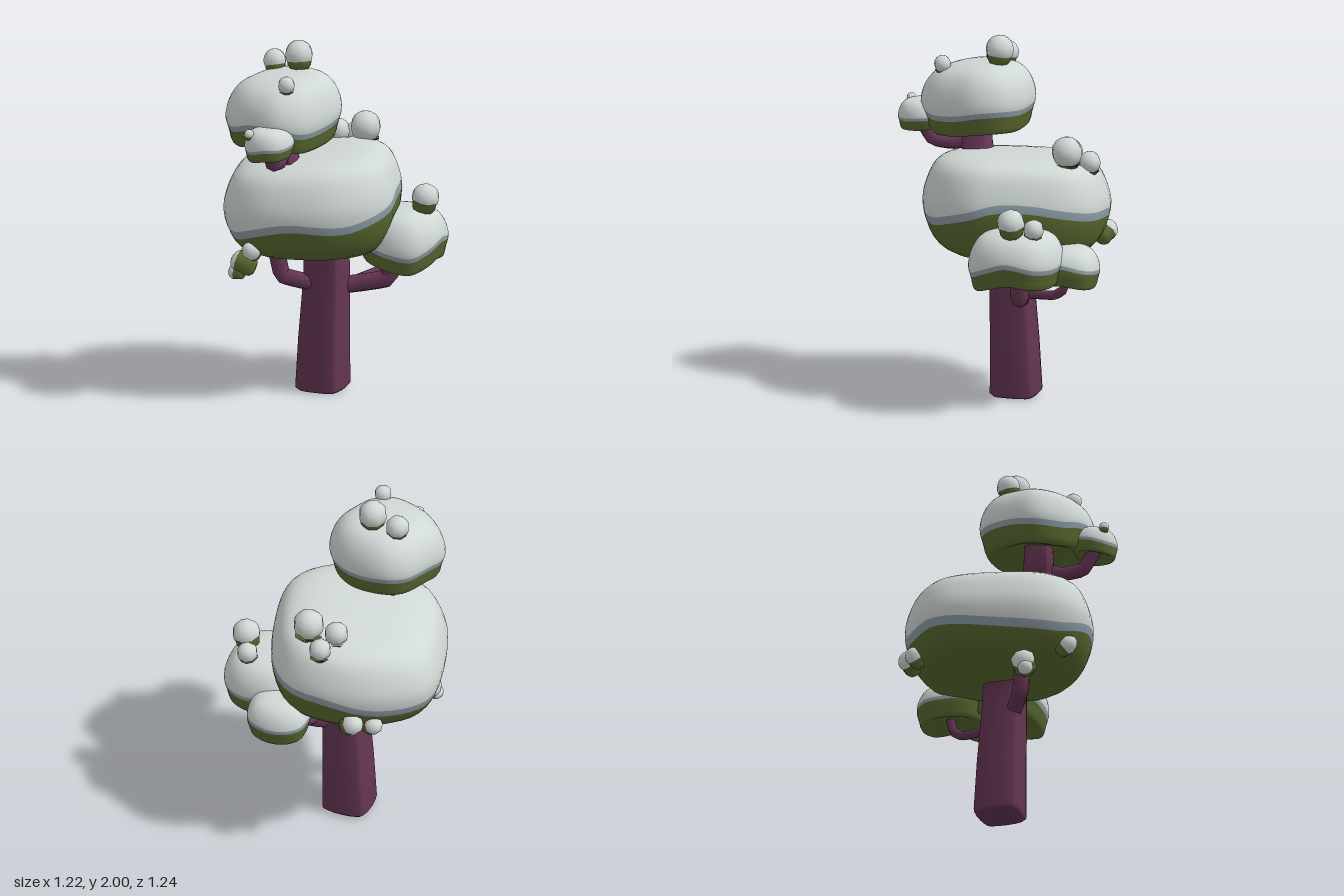
import * as THREE from 'three';
import { mergeVertices } from 'three/addons/utils/BufferGeometryUtils.js';

const mat = (name, color) => new THREE.MeshStandardMaterial({ name, color });
const V = (x, y, z) => new THREE.Vector3(x, y, z);

// Skin a stack of closed rings (bottom to top); bands give the row where each material ends
function skin(rings, bands) {
  const n = rings[0].length, pos = [], index = [];
  for (const ring of rings) for (const p of ring) pos.push(p.x, p.y, p.z);
  for (let j = 0; j < rings.length - 1; j++) {
    for (let i = 0; i < n; i++) {
      const a = j * n + i, b = j * n + (i + 1) % n;
      index.push(a, a + n, b, b, a + n, b + n);
    }
  }
  const geo = new THREE.BufferGeometry();
  geo.setAttribute('position', new THREE.Float32BufferAttribute(pos, 3));
  geo.setIndex(index);
  let start = 0;
  bands.forEach((end, m) => {
    geo.addGroup(start * n * 6, (end - start) * n * 6, m);
    start = end;
  });
  const merged = mergeVertices(geo, 1e-5);
  merged.computeVertexNormals();
  return merged;
}

// Side profiles: x = share of the outline, y = share of the height
const profile = pts => new THREE.CatmullRomCurve3(pts.map(([s, y]) => V(s, y, 0)), false, 'centripetal');
const domed = profile([[0, 0], [0.45, 0.03], [0.77, 0.1], [0.91, 0.23], [1, 0.5], [0.96, 0.7], [0.85, 0.88], [0.6, 0.97], [0, 1]]);
const hollow = profile([[0, 0.18], [0.5, 0.12], [0.78, 0.01], [0.88, 0.04], [0.94, 0.22], [1, 0.42], [0.93, 0.68], [0.75, 0.88], [0.45, 0.98], [0, 1]]);

export function createModel() {
  const model = new THREE.Group();
  model.name = 'snowyTree';
  const bark = mat('bark', 0x653553);
  const leaf = mat('leafGreen', 0x5a6a30);
  const slush = mat('snowEdge', 0x8f9fa8);
  const snow = mat('snow', 0xd0d8d5);

  function add(name, geo, material, parent = model) {
    const mesh = new THREE.Mesh(geo, material);
    mesh.name = name;
    parent.add(mesh);
    return mesh;
  }

  // Foliage cloud: outline points are [x, z, height of the snow line];
  // the top leans by tiltX and tiltZ, the lower rim follows the snow line
  function foliage(name, outline, y0, y1, curve, { tiltX = 0, tiltZ = 0, follow = 0.8 } = {}) {
    const n = 48, low = 10, high = 14;
    const loop = new THREE.CatmullRomCurve3(outline.map(([x, z, y]) => V(x, y, z)), true);
    const edge = Array.from({ length: n }, (_, i) => loop.getPoint(i / n));
    const c = new THREE.Box3().setFromPoints(edge).getCenter(V());
    const at = (p, t) => {
      const q = curve.getPoint(t);
      const dx = (p.x - c.x) * q.x, dz = (p.z - c.z) * q.x;
      const wave = (p.y - c.y) * follow * q.x * (1 - q.y);
      return V(c.x + dx, y0 + (y1 - y0) * q.y + (tiltX * dx + tiltZ * dz) * q.y + wave, c.z + dz);
    };
    const findT = (p, y) => {
      let a = 0.25, b = 0.85;
      for (let k = 0; k < 20; k++) {
        const m = (a + b) / 2;
        if (at(p, m).y < y) a = m; else b = m;
      }
      return a;
    };
    const band = (y1 - y0) * 0.07 + 0.005;
    const marks = edge.map(p => [findT(p, p.y - band), findT(p, p.y)]);
    const rings = [];
    for (let j = 0; j <= low; j++) rings.push(edge.map((p, i) => at(p, marks[i][0] * j / low)));
    for (let j = 0; j <= high; j++) {
      rings.push(edge.map((p, i) => at(p, marks[i][1] + (1 - marks[i][1]) * j / high)));
    }
    add(name, skin(rings, [low, low + 1, low + 1 + high]), [leaf, slush, snow]);
  }

  foliage('mainFoliage', [
    [0.41, 0.06, 1.13], [0.37, 0.2, 1.09], [0.27, 0.32, 1.05], [0.15, 0.4, 1.05], [-0.03, 0.455, 1.06],
    [-0.22, 0.47, 1.02], [-0.38, 0.41, 0.97], [-0.49, 0.28, 0.96], [-0.57, 0.05, 0.97], [-0.61, -0.18, 0.99],
    [-0.58, -0.32, 1.0], [-0.48, -0.43, 1.0], [-0.32, -0.53, 1.02], [-0.1, -0.585, 1.08], [0.12, -0.56, 1.1],
    [0.25, -0.45, 1.13], [0.34, -0.25, 1.17], [0.39, -0.07, 1.17],
  ], 0.78, 1.365, domed, { tiltX: 0.11, follow: 0 });

  foliage('topFoliage', [
    [0.13, 0.12, 1.61], [0.1, 0.26, 1.58], [0.03, 0.41, 1.57], [-0.1, 0.49, 1.61], [-0.25, 0.47, 1.61],
    [-0.39, 0.4, 1.57], [-0.485, 0.26, 1.57], [-0.45, 0.1, 1.6], [-0.37, -0.06, 1.61], [-0.25, -0.125, 1.62],
    [-0.05, -0.105, 1.61], [0.08, -0.02, 1.62],
  ], 1.46, 1.84, hollow, { tiltX: 0.05, tiltZ: -0.1 });

  foliage('sideFoliage', [
    [0.61, -0.2, 0.9], [0.59, -0.07, 0.86], [0.52, 0.03, 0.82], [0.38, 0.055, 0.84], [0.2, -0.02, 0.88],
    [0.13, -0.2, 0.88], [0.17, -0.38, 0.87], [0.3, -0.45, 0.87], [0.48, -0.435, 0.86], [0.58, -0.35, 0.87],
  ], 0.735, 1.05, hollow);

  foliage('backFoliage', [
    [0.39, -0.45, 0.86], [0.36, -0.3, 0.85], [0.2, -0.24, 0.84], [0.07, -0.33, 0.83],
    [0.05, -0.53, 0.82], [0.12, -0.6, 0.81], [0.24, -0.62, 0.81], [0.35, -0.58, 0.83],
  ], 0.715, 0.935, hollow);

  foliage('frontFoliage', [
    [0.005, 0.48, 1.53], [-0.03, 0.58, 1.52], [-0.1, 0.62, 1.52], [-0.2, 0.605, 1.5],
    [-0.265, 0.5, 1.52], [-0.23, 0.4, 1.54], [-0.12, 0.38, 1.55], [-0.02, 0.4, 1.54],
  ], 1.45, 1.615, hollow);

  // Trunk: softly squared sections [x, y, z, half width]
  const sections = [
    [-0.05, 0, -0.07, 0], [-0.05, 0, -0.07, 0.115], [-0.05, 0.02, -0.07, 0.134], [-0.04, 0.3, -0.065, 0.126],
    [-0.02, 0.65, -0.055, 0.114], [-0.02, 0.85, -0.05, 0.11], [-0.1, 1.15, 0.08, 0.09],
    [-0.175, 1.36, 0.19, 0.08], [-0.2, 1.56, 0.2, 0.07], [-0.2, 1.56, 0.2, 0],
  ];
  const quarter = [[1, 0], [0.97, 0.45], [0.9, 0.76], [0.84, 0.84], [0.76, 0.9], [0.45, 0.97]];
  const corners = [0, 1, 2, 3].flatMap(k => quarter.map(([a, b]) => [[a, b], [-b, a], [-a, -b], [b, -a]][k]));
  const rings = sections.map(([x, y, z, h]) => corners.map(([a, b]) => V(x + a * h, y, z + b * h)));
  add('trunk', skin(rings, [sections.length - 1]), [bark]);

  // Branches
  const branch = (name, r, pts) => add(name, new THREE.TubeGeometry(
    new THREE.CatmullRomCurve3(pts.map(p => V(...p)), false, 'catmullrom', 0.12), 18, r, 8), bark);
  branch('leftBranch', 0.046, [[-0.02, 0.6, -0.03], [-0.13, 0.635, 0.05], [-0.22, 0.67, 0.1], [-0.26, 0.9, 0.13]]);
  branch('sideBranch', 0.05, [[0, 0.58, -0.1], [0.12, 0.595, -0.15], [0.29, 0.635, -0.19], [0.33, 0.86, -0.2]]);
  branch('backBranch', 0.026, [[0.1, 0.61, -0.15], [0.2, 0.64, -0.36], [0.21, 0.68, -0.42], [0.22, 0.82, -0.45]]);
  branch('topBranch', 0.04, [[-0.17, 1.4, 0.18], [-0.14, 1.375, 0.32], [-0.13, 1.39, 0.43], [-0.13, 1.53, 0.52]]);

  // Buds: a snow cap over a green base; the cap faces dir and covers the given share of the ball
  function bud(name, [x, y, z], r, { dir = [0, 1, 0], cover = 0.6, stretch = 1 } = {}) {
    const g = new THREE.Group();
    g.name = name;
    const cut = Math.PI * cover;
    add('budSnow', new THREE.SphereGeometry(r, 8, 6, 0, Math.PI * 2, 0, cut), snow, g);
    const top = r * Math.cos(cut), rim = r * Math.sin(cut);
    const base = [[0, -1.1 * r], [0.6 * r, -1.05 * r], [0.86 * r, -0.7 * r], [0.9 * r, Math.min(top, -0.2 * r)], [rim, top]];
    add('budLeaf', new THREE.LatheGeometry(base.map(p => new THREE.Vector2(...p)), 8), leaf, g);
    g.position.set(x, y, z);
    g.quaternion.setFromUnitVectors(V(0, 1, 0), V(...dir).normalize());
    g.scale.y = stretch;
    model.add(g);
  }
  bud('topBudLarge', [-0.14, 1.92, 0.05], 0.08, { dir: [-0.1, 1, -0.1], cover: 0.64 });
  bud('topBudMedium', [-0.285, 1.87, 0.05], 0.066, { dir: [-0.2, 1, -0.15] });
  bud('topBudSmall', [-0.08, 1.83, 0.36], 0.048, { cover: 0.78 });
  bud('mainBudLarge', [0.065, 1.42, -0.395], 0.087, { cover: 0.78 });
  bud('mainBudMedium', [-0.09, 1.385, -0.375], 0.067, { cover: 0.78 });
  bud('mainBudSmall', [-0.04, 1.345, -0.495], 0.062, { cover: 0.78 });
  bud('sideBudLarge', [0.505, 1.11, -0.205], 0.079, { dir: [0.2, 1, 0], cover: 0.56 });
  bud('sideBudSmall', [0.455, 1.07, -0.32], 0.058, { dir: [0.2, 1, -0.2], cover: 0.68 });
  bud('frontBud', [-0.21, 1.59, 0.575], 0.029);
  // Hanging buds under the main foliage
  bud('frontPod', [-0.28, 0.87, 0.385], 0.052, { dir: [-0.1, 0.7, 1], stretch: 1.2 });
  bud('leftPod', [-0.42, 0.735, 0.18], 0.075, { dir: [-1, 0.25, 0.1], cover: 0.36, stretch: 0.9 });
  bud('leftPodSmall', [-0.45, 0.685, 0.2], 0.045, { dir: [-1, 0.1, 0.1], cover: 0.45 });
  bud('backPod', [-0.24, 0.91, -0.53], 0.062, { dir: [-0.9, 0.7, -0.35], cover: 0.5, stretch: 1.1 });
  bud('backPodSmall', [-0.34, 0.89, -0.47], 0.054, { dir: [-0.9, 0.7, -0.35], cover: 0.5, stretch: 1.1 });

  return model;
}
